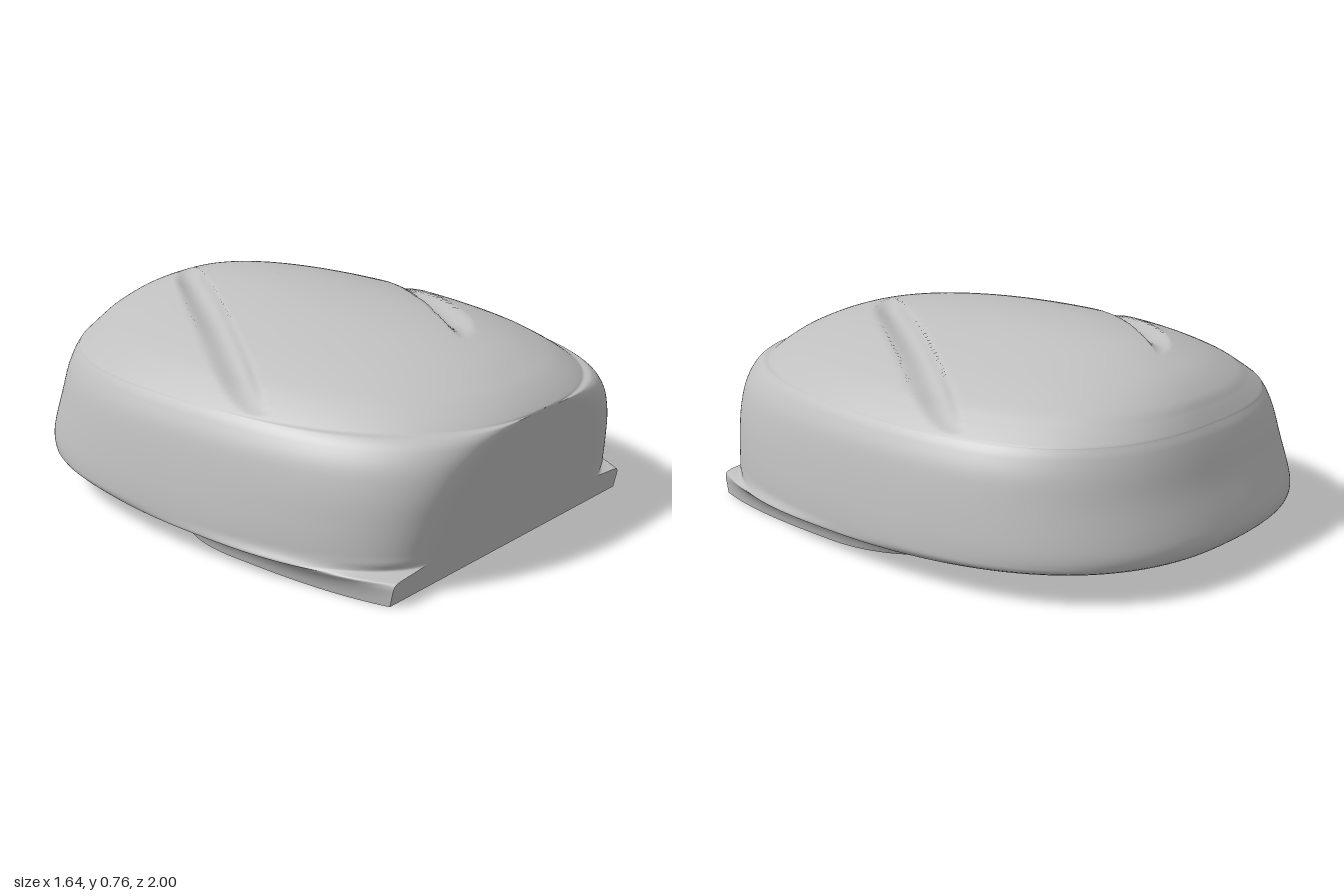
import * as THREE from 'three';
import { mergeVertices } from 'three/addons/utils/BufferGeometryUtils.js';

const RIM_Y = 0.52, TOP_Y = 0.757;
const HALF = 160; // columns on each side

// Foot and lower body: [height, half width, back z, half width of the front cut]
const lower = [
  [0, 0.72, -0.33, 0.66], [0.03, 0.73, -0.37, 0.66], [0.06, 0.75, -0.44, 0.66],
  [0.078, 0.775, -0.6, 0.65], [0.085, 0.79, -0.79, 0.62], [0.09, 0.81, -0.91, 0.56],
  [0.1, 0.82, -0.96, 0.49], [0.13, 0.82, -0.99, 0.455], [0.17, 0.818, -1, 0.44],
  [0.23, 0.812, -0.985, 0.42], [0.33, 0.797, -0.95, 0.38], [0.42, 0.777, -0.925, 0.31],
  [0.48, 0.75, -0.905, 0.22], [0.51, 0.73, -0.89, 0.12],
];
// Dome above the cut: [height, half width, back z, front z]
const dome = [
  [RIM_Y, 0.72, -0.885, 1], [0.56, 0.665, -0.86, 0.955], [0.6, 0.6, -0.83, 0.89],
  [0.65, 0.49, -0.765, 0.77], [0.69, 0.375, -0.68, 0.61], [0.72, 0.27, -0.59, 0.41],
  [0.74, 0.18, -0.48, 0.17], [0.752, 0.095, -0.35, -0.03], [TOP_Y, 0, -0.2, -0.2],
];
const cutZ = y => 0.885 + 0.115 * y / RIM_Y; // slanted front plane
const sections = [
  ...lower.map(([y, w, back, cut]) => [y, w, back, cutZ(y), cut]),
  ...dome.map(row => [...row, 0]),
];

// Smooth, overshoot-free blend between sections k and k + 1
function blend(k, f) {
  const at = i => sections[THREE.MathUtils.clamp(i, 0, sections.length - 1)];
  const [p0, p1, p2, p3] = [at(k - 1), at(k), at(k + 1), at(k + 2)];
  return p1.map((b, i) => {
    const c = p2[i], m0 = (c - p0[i]) / 2, m1 = (p3[i] - b) / 2;
    const v = b + f * (m0 + f * (3 * (c - b) - 2 * m0 - m1 + f * (2 * (b - c) + m0 + m1)));
    return THREE.MathUtils.clamp(v, Math.min(b, c), Math.max(b, c));
  });
}

// Two opposite slanted grooves, each pressed in beside a straight inner edge
const grooveStart = new THREE.Vector2(0, -0.64);
const grooveAxis = new THREE.Vector2(-0.67, 0.37).sub(grooveStart);
const grooveLength = grooveAxis.length();
grooveAxis.normalize();

function pressGrooves(p) {
  if (p.y < 0.4) return;
  for (const s of [1, -1]) {
    const dx = p.x * s - grooveStart.x, dz = p.z * s - grooveStart.y;
    const t = (dx * grooveAxis.x + dz * grooveAxis.y) / grooveLength * 2 - 1;
    if (Math.abs(t) >= 1) continue;
    const width = 0.115 * Math.sqrt(1 - t ** 4);
    const v = (dz * grooveAxis.x - dx * grooveAxis.y) / width;
    if (v <= 0 || v >= 1) continue;
    const depth = 0.144 * v * (1 - v) * Math.min(1, 3 * (1 - Math.abs(t)));
    p.add(new THREE.Vector3(-p.x, 0.1 - p.y, -p.z * 0.4).setLength(depth));
  }
}

// One loop, from the right edge of the front cut round the back to the left edge
function sectionLoop([y, w, back, front, cut]) {
  const { lerp, smoothstep } = THREE.MathUtils;
  const body = smoothstep(y, 0.07, 0.13);                     // foot 0, body 1
  const h = Math.max(0, (y - RIM_Y) / (TOP_Y - RIM_Y));       // rim 0, crown 1
  const midZ = lerp(0.25, 0, body) - 0.2 * h * h;
  const frontZ = y < RIM_Y ? cutZ(y) : front;
  const p = lerp(3, 2.35, body) - 0.35 * h;
  const q = lerp(1, 2.35, body) - 0.35 * h;
  const n = lerp(2.2, 2.6, body) - 0.6 * h;
  const loop = [];
  for (let j = 0; j <= 2 * HALF; j++) {
    const k = Math.min(j, 2 * HALF - j), side = j <= HALF ? 1 : -1;
    const angle = k / HALF * Math.PI;
    const c = Math.sin(angle), s = Math.abs(Math.cos(angle));
    const atFront = k < HALF / 2;
    const x = atFront ? cut + (w - cut) * c ** (2 / q) : w * Math.max(0, c) ** (2 / n);
    const z = midZ + (atFront ? (frontZ - midZ) * s ** (2 / p) : (back - midZ) * s ** (2 / n));
    const point = new THREE.Vector3(k === HALF ? 0 : side * x, y, z);
    pressGrooves(point);
    loop.push(point);
  }
  return loop;
}

function makeGeometry(points, index) {
  return new THREE.BufferGeometry().setFromPoints(points).setIndex(index);
}

export function createModel() {
  const group = new THREE.Group();
  const grey = new THREE.MeshStandardMaterial({ color: 0xbfbfbf });
  grey.name = 'grey';
  const add = (name, geometry) => {
    geometry.computeVertexNormals();
    const mesh = new THREE.Mesh(geometry, grey);
    mesh.name = name;
    group.add(mesh);
  };

  // Stacked loops, finer toward the top
  const rim = lower.length, loops = [];
  let rimRow = 0;
  for (let k = 0; k < sections.length - 1; k++) {
    const steps = k < rim - 2 ? 4 : 9;
    if (k === rim) rimRow = loops.length;
    for (let i = 0; i < steps; i++) loops.push(sectionLoop(blend(k, i / steps)));
  }
  loops.push(sectionLoop(sections[sections.length - 1]));

  // Domed shell with its flared foot
  const cols = 2 * HALF + 1, index = [];
  for (let i = 0; i < loops.length - 1; i++) {
    for (let j = 0; j < cols - 1; j++) {
      const a = i * cols + j, b = a + cols;
      index.push(a, a + 1, b + 1, a, b + 1, b);
    }
  }
  add('shell', mergeVertices(makeGeometry(loops.flat(), index), 1e-5));

  // Flat arched front
  const frontPoints = [], frontIndex = [];
  for (let i = 0; i <= rimRow; i++) {
    const k = 2 * i;
    frontPoints.push(loops[i][cols - 1], loops[i][0]);
    if (i < rimRow) frontIndex.push(k, k + 1, k + 3, k, k + 3, k + 2);
  }
  add('frontFace', makeGeometry(frontPoints, frontIndex));

  // Flat underside
  const basePoints = [new THREE.Vector3(0, 0, 0.3), ...loops[0]], baseIndex = [];
  for (let j = 0; j < cols; j++) baseIndex.push(0, 1 + (j + 1) % cols, 1 + j);
  add('base', makeGeometry(basePoints, baseIndex));

  return group;
}
